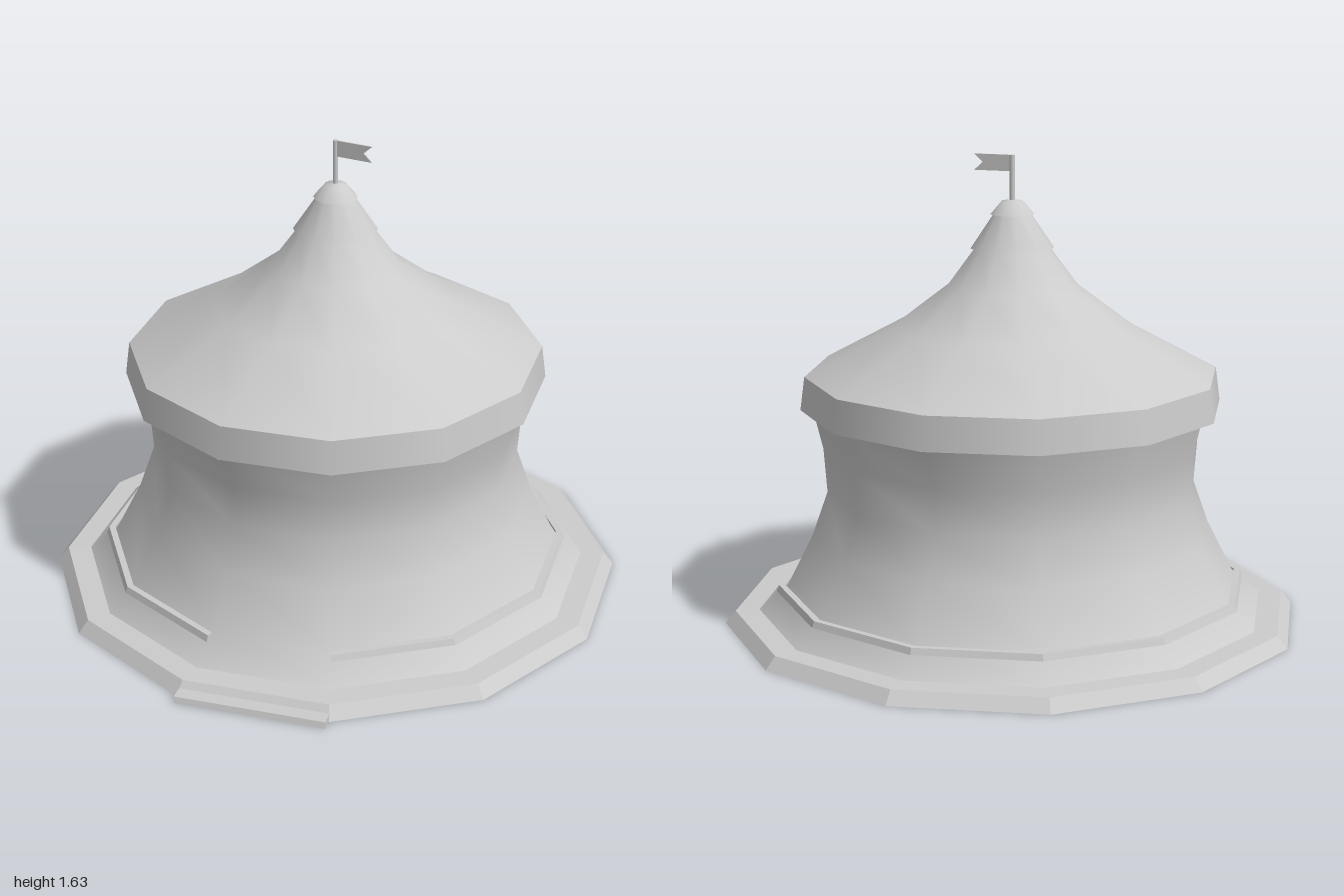
import * as THREE from 'three';

const SIDES = 12;
const APOTHEM = Math.cos(Math.PI / SIDES);

export function createModel() {
  const model = new THREE.Group();
  const smooth = new THREE.MeshStandardMaterial({ color: 0xcccccc, side: THREE.DoubleSide });
  const flat = smooth.clone();
  flat.flatShading = true;

  const tent = new THREE.Group();
  tent.name = 'tent';
  tent.position.z = -0.02;
  model.add(tent);

  function add(name, geometry, material = smooth, parent = tent) {
    const mesh = new THREE.Mesh(geometry, material);
    mesh.name = name;
    parent.add(mesh);
    return mesh;
  }

  // Twelve-sided ring with flats facing the axes; profile is [flat distance, height]
  function ring(name, profile, material = smooth, segments = SIDES) {
    const points = profile.map(([a, y]) => new THREE.Vector2(a / APOTHEM, y));
    const step = (Math.PI * 2) / SIDES;
    return add(name, new THREE.LatheGeometry(points, segments, step / 2, step * segments), material);
  }

  // Platform rim, hollow below, with a raised floor
  ring('platformRim', [[0.98, 0], [0.945, 0.043], [0.865, 0.045]], flat);
  ring('floor', [[0, 0.042], [0.865, 0.042]], flat);

  // Low curb, open along the front side
  const curb = [[0.775, 0.11], [0.805, 0.11], [0.797, 0.132], [0.775, 0.132], [0.775, 0.11]];
  ring('curb', curb, flat, SIDES - 1);
  for (const side of [-1, 1]) {
    const shape = new THREE.Shape(curb.map(([a, y]) => new THREE.Vector2(a / APOTHEM, y)));
    const end = add('curbEnd', new THREE.ShapeGeometry(shape), flat);
    end.rotation.y = -Math.PI / 2 + (side * Math.PI) / SIDES;
  }

  // Flared cloth wall, running from the rim up behind the valance to the eaves
  ring('wall', [
    [0.865, 0.045], [0.768, 0.13], [0.68, 0.31], [0.627, 0.465], [0.638, 0.62], [0.67, 0.758], [0.695, 0.872],
  ]);

  // Roof with hanging valance
  ring('valance', [[0.712, 0.76], [0.697, 0.876]]);
  ring('roof', [[0.697, 0.876], [0.4, 1.042], [0.22, 1.183], [0.125, 1.315]]);

  // Stacked caps at the peak
  ring('lowerCapUnderside', [[0.1, 1.313], [0.14, 1.313]]);
  ring('lowerCap', [[0.14, 1.313], [0.06, 1.435]]);
  ring('upperCapUnderside', [[0.05, 1.43], [0.073, 1.43]]);
  ring('upperCap', [[0.073, 1.43], [0.036, 1.475], [0, 1.48]]);

  // Flagpole and swallowtail pennant
  const pole = add('flagpole', new THREE.CylinderGeometry(0.009, 0.009, 0.17, 8));
  pole.position.y = 1.547;
  const pennant = new THREE.Shape([
    [0, 1.576], [0.139, 1.576], [0.108, 1.604], [0.139, 1.632], [0, 1.632],
  ].map(([x, y]) => new THREE.Vector2(x, y)));
  const flag = add('flag', new THREE.ExtrudeGeometry(pennant, { depth: 0.006, bevelEnabled: false }), flat);
  flag.position.z = -0.001;
  flag.rotation.y = -0.2;

  // Entrance step in front of the platform
  const stepShape = new THREE.Shape([
    [0.94, 0], [1, 0], [0.993, 0.021], [0.94, 0.021],
  ].map(([z, y]) => new THREE.Vector2(z, y)));
  const stepGeometry = new THREE.ExtrudeGeometry(stepShape, { depth: 0.52, bevelEnabled: false });
  stepGeometry.translate(0, 0, -0.26).rotateY(-Math.PI / 2);
  add('entranceStep', stepGeometry, flat, model);

  return model;
}
